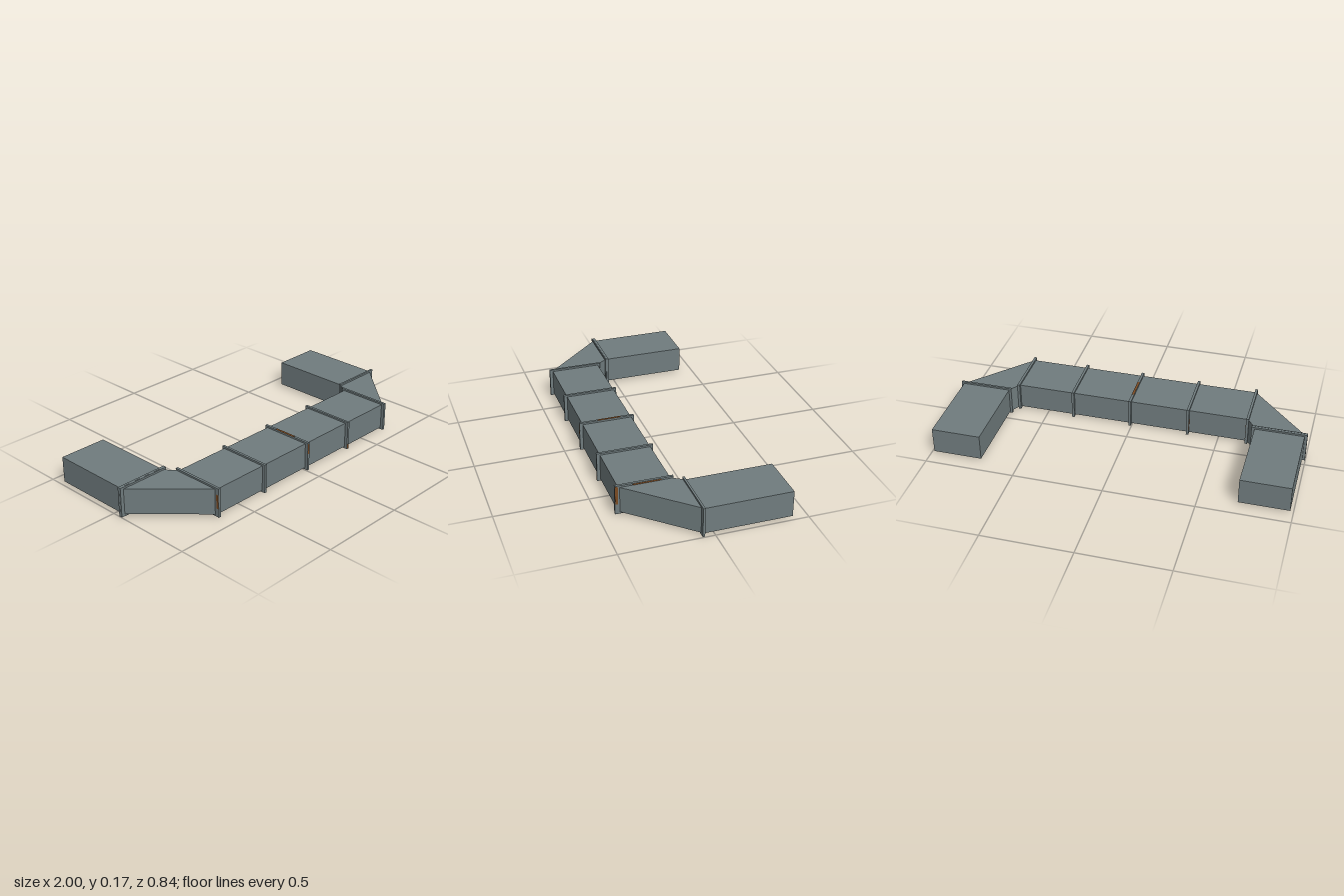
import * as THREE from 'three';

const steel = new THREE.MeshStandardMaterial({ color: 0x707c7e });
steel.name = 'grey steel';
const rustMat = new THREE.MeshStandardMaterial({ color: 0x7a4a22 });
rustMat.name = 'rust brown';

// Duct section height range and flange height range
const Y0 = 0.012, Y1 = 0.157, F0 = 0.002, F1 = 0.167;

export function createModel() {
  const group = new THREE.Group();

  // Box given by its minimum and maximum corners
  function box(name, x0, x1, y0, y1, z0, z1, material = steel) {
    const mesh = new THREE.Mesh(new THREE.BoxGeometry(x1 - x0, y1 - y0, z1 - z0), material);
    mesh.position.set((x0 + x1) / 2, (y0 + y1) / 2, (z0 + z1) / 2);
    mesh.name = name;
    group.add(mesh);
  }

  // Upright prism from a floor plan of [x, z] corners
  function prism(name, plan) {
    const shape = new THREE.Shape(plan.map(([x, z]) => new THREE.Vector2(x, -z)));
    const geometry = new THREE.ExtrudeGeometry(shape, { depth: Y1 - Y0, bevelEnabled: false });
    geometry.rotateX(-Math.PI / 2).translate(0, Y0, 0);
    const mesh = new THREE.Mesh(geometry, steel);
    mesh.name = name;
    group.add(mesh);
  }

  // Straight duct runs
  box('mainDuct', -0.66, 0.67, Y0, Y1, 0.12, 0.396);
  box('rightArm', -0.983, -0.71, Y0, Y1, -0.422, 0.055);
  box('leftArm', 0.71, 0.983, Y0, Y1, -0.418, 0.06);

  // Mitred elbows
  for (const [name, s, end] of [['rightElbow', -1, 0.66], ['leftElbow', 1, 0.67]]) {
    prism(name, [[s * 0.983, 0.055], [s * 0.71, 0.055], [s * end, 0.12], [s * end, 0.396]]);
  }

  // Joint flanges along the main duct
  for (const x of [-0.66, -0.325, 0.01, 0.345, 0.67]) {
    box('mainFlange', x - 0.007, x + 0.007, F0, F1, 0.105, 0.414);
  }

  // Paired flange on the right arm, single flange on the left arm
  box('rightArmFlange', -0.998, -0.693, 0, F1, 0.04, 0.053);
  box('rightArmFlange', -0.998, -0.693, 0, F1, 0.054, 0.06);
  box('leftArmFlange', 0.697, 0.998, F0, F1, 0.054, 0.066);

  // Thin rust patches on the flanges
  const t = 0.001;
  const patch = (...bounds) => box('rustPatch', ...bounds, rustMat);
  patch(0.004, 0.016, F1, F1 + t, 0.18, 0.31);
  patch(0.004, 0.016, 0.1, 0.16, 0.414, 0.414 + t);
  patch(0.677, 0.677 + t, 0.06, 0.163, 0.398, 0.412);
  patch(0.677, 0.677 + t, 0.157, 0.164, 0.17, 0.32);
  patch(0.677, 0.677 + t, 0.003, 0.007, 0.18, 0.37);
  for (const x of [0.01, 0.345]) patch(x - 0.006, x + 0.006, F0 - t, F0, 0.2, 0.34);
  patch(0.339, 0.351, 0.005, 0.03, 0.414, 0.414 + t);
  patch(-0.333, -0.332, 0.03, 0.1, 0.107, 0.119);
  patch(-0.653, -0.652, 0.03, 0.13, 0.107, 0.119);
  patch(-0.668, -0.667, 0.05, 0.13, 0.398, 0.412);
  patch(-0.76, -0.7, 0.002, 0.011, 0.06, 0.06 + t);

  return group;
}
